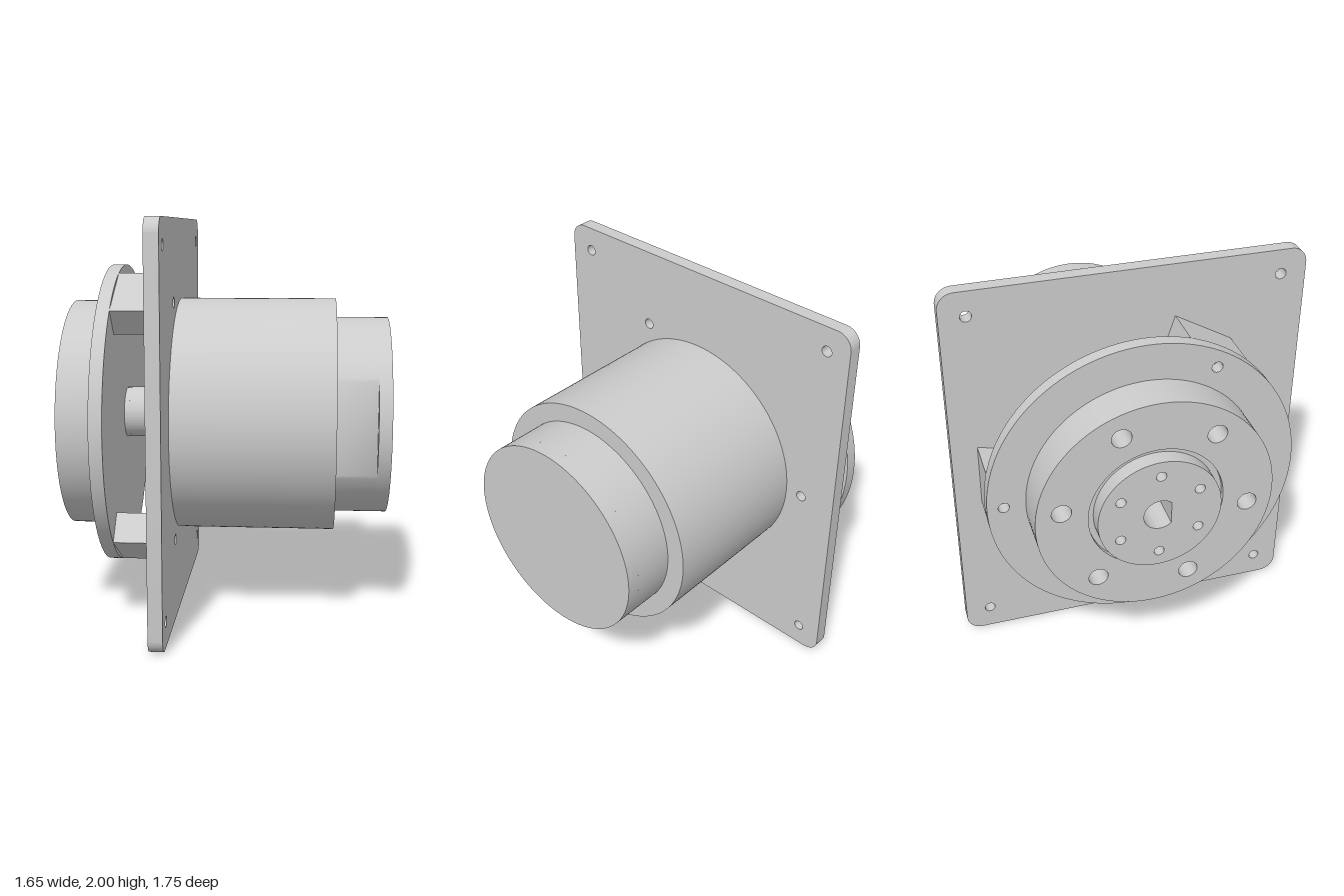
import * as THREE from 'three';
import { toCreasedNormals } from 'three/addons/utils/BufferGeometryUtils.js';

const TAU = Math.PI * 2;
const material = new THREE.MeshStandardMaterial({ color: 0xcccccc });

// Circular outline
function disc(r) {
  const s = new THREE.Shape();
  s.absarc(0, 0, r, 0, TAU, false);
  return s;
}

// Round hole at u, v of the cross-section
function drill(shape, u, v, r) {
  const p = new THREE.Path();
  p.absarc(u, v, r, 0, TAU, true);
  shape.holes.push(p);
}

// Ring of evenly spaced holes
function drillRing(shape, count, radius, r, start = 0) {
  for (let i = 0; i < count; i++) {
    const a = start + (i * TAU) / count;
    drill(shape, radius * Math.cos(a), radius * Math.sin(a), r);
  }
}

// Outline of a circle cut by a straight line at u = -d
function flatted(r, d) {
  const s = new THREE.Shape();
  const a = Math.acos(-d / r);
  s.absarc(0, 0, r, -a, a, false);
  s.closePath();
  return s;
}

export function createModel() {
  const model = new THREE.Group();
  model.name = 'motorAssembly';

  // Extrudes a cross-section along the shaft axis from x0 to x1 (u = -z, v = y)
  const add = (name, shape, x0, x1) => {
    const g = new THREE.ExtrudeGeometry(shape, { depth: x1 - x0, bevelEnabled: false, curveSegments: 64 });
    const mesh = new THREE.Mesh(toCreasedNormals(g, 0.5), material);
    mesh.name = name;
    mesh.rotation.y = Math.PI / 2;
    mesh.position.set(x0, 1, 0);
    model.add(mesh);
    return mesh;
  };

  // Mounting plate with rounded corners and bolt holes
  const w = 0.875, h = 1, c = 0.08;
  const plate = new THREE.Shape();
  plate.absarc(w - c, h - c, c, 0, TAU / 4, false);
  plate.absarc(-w + c, h - c, c, TAU / 4, TAU / 2, false);
  plate.absarc(-w + c, -h + c, c, TAU / 2, TAU * 0.75, false);
  plate.absarc(w - c, -h + c, c, TAU * 0.75, TAU, false);
  plate.closePath();
  for (const u of [-0.75, 0.75]) for (const v of [-0.875, 0.875]) drill(plate, u, v, 0.027);
  drillRing(plate, 3, 0.685, 0.027);
  add('mountingPlate', plate, -0.3, -0.23);

  // Motor body and end cap with a flat on its front
  add('motorBody', disc(0.595), -0.23, 0.56);
  add('endCapFlatted', flatted(0.5, 0.445), 0.56, 0.76);
  add('endCapRim', disc(0.5), 0.76, 0.825);

  // Front flange
  const flange = disc(0.765);
  drillRing(flange, 3, 0.685, 0.027);
  add('flange', flange, -0.58, -0.515);

  // Three wedge-shaped spacers between flange and plate
  const half = THREE.MathUtils.degToRad(12.5);
  for (let i = 0; i < 3; i++) {
    const post = new THREE.Shape();
    post.absarc(0, 0, 0.6, half, -half, true);
    post.lineTo(0.765 * Math.cos(half), -0.765 * Math.sin(half));
    post.lineTo(0.765 * Math.cos(half), 0.765 * Math.sin(half));
    post.closePath();
    drill(post, 0.685, 0, 0.027);
    const mesh = add('spacer', post, -0.515, -0.3);
    mesh.rotation.set(0, Math.PI / 2, (i * TAU) / 3);
  }

  // Bearing housing with six bolt holes and a recess around the hub
  const housing = disc(0.58);
  drill(housing, 0, 0, 0.33);
  drillRing(housing, 6, 0.46, 0.048, THREE.MathUtils.degToRad(8));
  add('bearingHousing', housing, -0.775, -0.58);
  const floor = disc(0.33);
  drill(floor, 0, 0, 0.3);
  add('recessFloor', floor, -0.75, -0.58);

  // Output hub with tapped holes and a D-shaped bore
  const hub = disc(0.3);
  drillRing(hub, 6, 0.22, 0.025, TAU / 12);
  hub.holes.push(flatted(0.08, 0.055));
  add('outputHub', hub, -0.83, -0.58);

  // Shaft collar, with a cross slot for the set screw, and motor shaft
  for (const side of [0, Math.PI]) {
    const a = Math.acos(0.022 / 0.13);
    const cheek = new THREE.Shape();
    cheek.absarc(0, 0, 0.13, side - a, side + a, false);
    cheek.closePath();
    add('collarCheek', cheek, -0.515, -0.49);
  }
  add('shaftCollar', disc(0.13), -0.49, -0.38);
  add('motorShaft', disc(0.088), -0.38, -0.3);

  return model;
}
